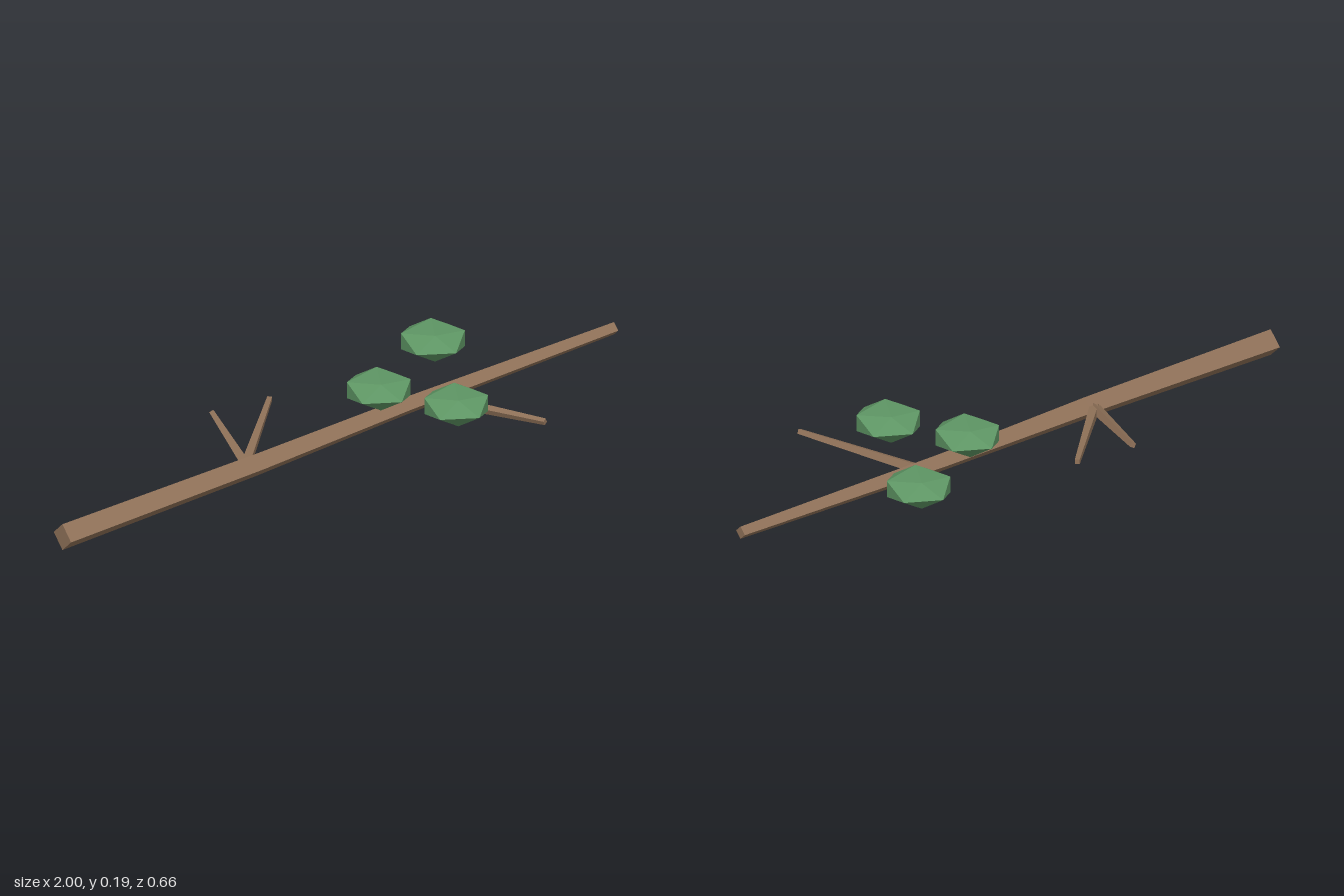
import * as THREE from 'three';

const wood = new THREE.MeshStandardMaterial({ color: 0x8f7158, flatShading: true });
const green = new THREE.MeshStandardMaterial({ color: 0x5e9664, flatShading: true });

function addMesh(group, name, geometry, material) {
  const mesh = new THREE.Mesh(geometry, material);
  mesh.name = name;
  group.add(mesh);
  return mesh;
}

// Tapered four-sided branch running along x through slightly bent stations
function branchGeometry() {
  const stations = [ // x, y, z, radius
    [-1, 0.043, -0.019, 0.042],
    [-0.3, 0.063, -0.023, 0.036],
    [0.25, 0.079, -0.041, 0.029],
    [1, 0.102, -0.043, 0.02],
  ];
  const geometry = new THREE.CylinderGeometry(1, 1, 2, 4, 3);
  const pos = geometry.attributes.position;
  for (let i = 0; i < pos.count; i++) {
    const [x, y, z, r] = stations[Math.round((pos.getY(i) + 1) * 1.5)];
    pos.setXYZ(i, x, y - pos.getX(i) * r, z + pos.getZ(i) * r);
  }
  return geometry;
}

// Tapered four-sided twig between two points
function addTwig(group, name, from, to) {
  const a = new THREE.Vector3(...from);
  const b = new THREE.Vector3(...to);
  const dir = b.clone().sub(a);
  const geometry = new THREE.CylinderGeometry(0.01, 0.018, dir.length(), 4);
  const twig = addMesh(group, name, geometry, wood);
  twig.position.copy(a).add(b).multiplyScalar(0.5);
  twig.quaternion.setFromUnitVectors(new THREE.Vector3(0, 1, 0), dir.normalize());
}

export function createModel() {
  const group = new THREE.Group();
  group.name = 'fallenBranch';

  addMesh(group, 'mainBranch', branchGeometry(), wood);

  // Side twigs
  addTwig(group, 'backTwigShort', [-0.325, 0.064, -0.04], [-0.235, 0.088, -0.325]);
  addTwig(group, 'backTwigLong', [-0.325, 0.064, -0.04], [-0.047, 0.087, -0.3]);
  addTwig(group, 'frontTwig', [0.335, 0.084, -0.03], [0.48, 0.108, 0.325]);

  // Flattened leaf clumps
  const leaves = [[0.17, -0.064], [0.29, 0.15], [0.48, -0.22]];
  leaves.forEach(([x, z], i) => {
    const leaf = addMesh(group, `leafClump${i + 1}`, new THREE.IcosahedronGeometry(0.109, 0), green);
    leaf.scale.y = 0.45;
    leaf.rotation.y = 1.04;
    leaf.position.set(x, 0.15, z);
  });

  return group;
}
